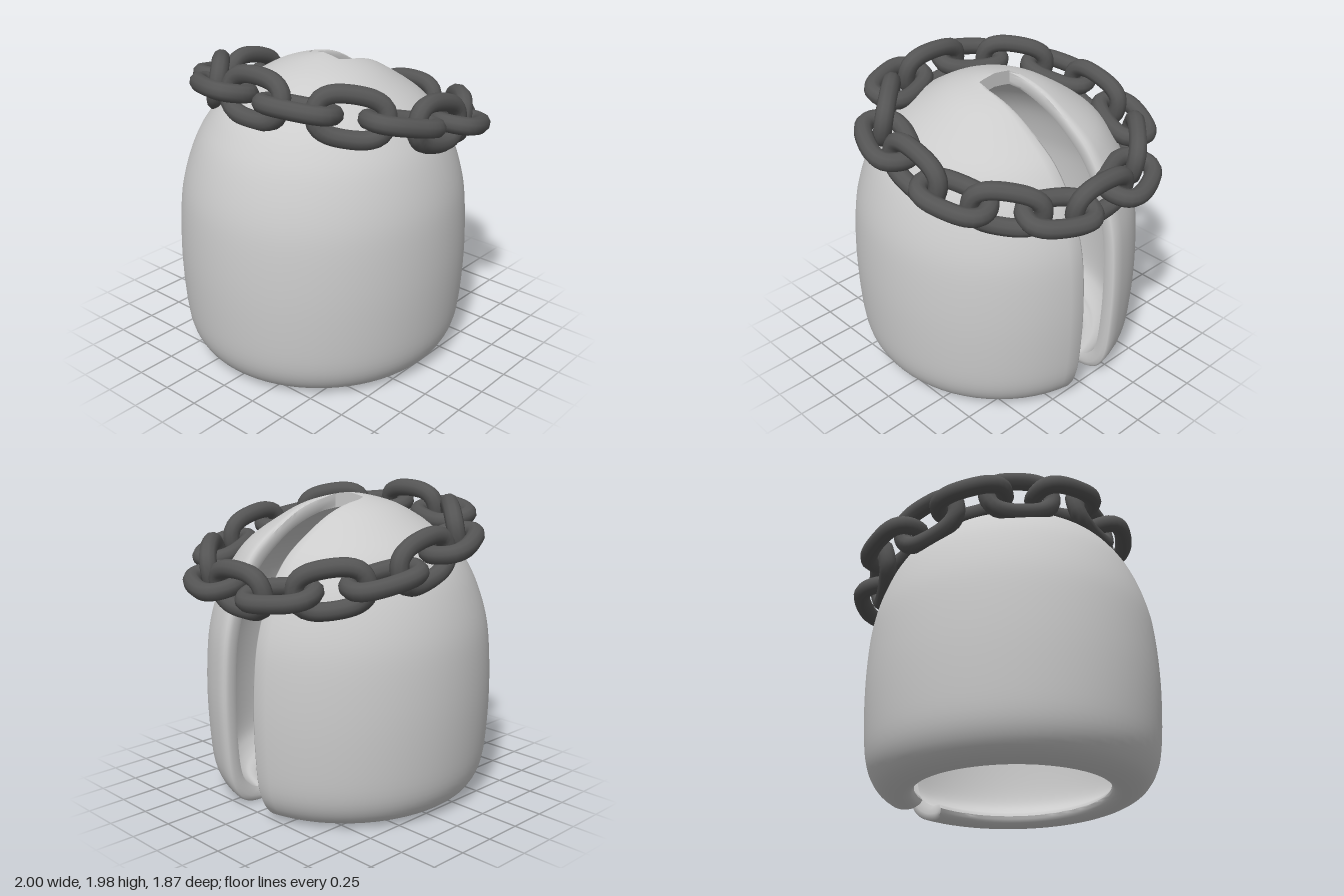
import * as THREE from 'three';
import { toCreasedNormals } from 'three/addons/utils/BufferGeometryUtils.js';

const spline = (pts) => new THREE.SplineCurve(pts.map(([r, y]) => new THREE.Vector2(r, y)));

// Hollow dome with a straight slot from the crown down through the +x side
function shellGeometry() {
  // matching outer and inner profiles (radius, height), meeting at the bottom lip
  const outer = spline([[0, 1.94], [0.13, 1.92], [0.3, 1.87], [0.45, 1.79], [0.64, 1.66], [0.745, 1.54], [0.825, 1.4],
    [0.895, 1.2], [0.93, 1], [0.945, 0.7], [0.935, 0.4], [0.91, 0.2], [0.855, 0.08], [0.78, 0.02], [0.69, 0], [0.63, 0.02], [0.61, 0.06]]);
  const inner = spline([[0, 1.85], [0.13, 1.83], [0.28, 1.78], [0.42, 1.71], [0.58, 1.59], [0.67, 1.49], [0.745, 1.36],
    [0.805, 1.18], [0.84, 1], [0.855, 0.7], [0.845, 0.4], [0.82, 0.22], [0.77, 0.14], [0.71, 0.1], [0.67, 0.1], [0.63, 0.09], [0.61, 0.06]]);

  // closed loop of columns: outside, rolled slot edge, inside, rolled slot edge
  // t = way round, w = half width of the slot, d = depth into the wall
  const roll = [[0.139, 0.12], [0.134, 0.4], [0.134, 0.75]];
  const around = 64, columns = [];
  for (let k = 0; k <= around; k++) columns.push({ t: k / around, w: 0.155, d: 0 });
  for (const [w, d] of roll) columns.push({ t: 1, w, d });
  for (let k = around; k >= 0; k--) columns.push({ t: k / around, w: 0.142, d: 1 });
  for (const [w, d] of [...roll].reverse()) columns.push({ t: 0, w, d });

  const rows = 64, n = columns.length, positions = [], index = [];
  for (let i = 0; i <= rows; i++) {
    const v = i / rows, a = outer.getPoint(v), b = inner.getPoint(v);
    const narrowing = 1 - 0.2 * THREE.MathUtils.smoothstep(v, 0.85, 1);
    for (const { t, w, d } of columns) {
      const p = a.clone().lerp(b, d);
      const r = Math.max(p.x, 0);
      const start = Math.asin(Math.min(1, (w * narrowing) / Math.max(r, 1e-6)));
      const angle = THREE.MathUtils.lerp(start, 2 * Math.PI - start, t);
      positions.push(r * Math.cos(angle) - 0.055, p.y, r * Math.sin(angle) * 0.963);
    }
  }
  for (let i = 0; i < rows; i++) {
    for (let j = 0; j < n; j++) {
      const k = (j + 1) % n;
      const p = i * n + j, q = i * n + k;
      index.push(p, q, p + n, q, q + n, p + n);
    }
  }
  const geometry = new THREE.BufferGeometry();
  geometry.setAttribute('position', new THREE.Float32BufferAttribute(positions, 3));
  geometry.setIndex(index);
  return toCreasedNormals(geometry, 0.9);
}

// One oblong link: length along z, width along y
function linkGeometry() {
  const quarter = [[0.12, 0.105], [0.085, 0.18], [0.04, 0.205]];
  const flip = (sy, sz) => quarter.map(([y, z]) => new THREE.Vector3(0, y * sy, z * sz));
  const path = new THREE.CatmullRomCurve3([
    ...flip(1, 1), ...flip(-1, 1).reverse(), ...flip(-1, -1), ...flip(1, -1).reverse(),
  ], true, 'centripetal');
  return new THREE.TubeGeometry(path, 36, 0.056, 10, true);
}

export function createModel() {
  const model = new THREE.Group();
  model.name = 'slottedDomeWithChain';

  const shell = new THREE.Mesh(shellGeometry(), new THREE.MeshStandardMaterial({ color: 0xcccccc }));
  shell.name = 'domeShell';
  model.add(shell);

  // Tilted ring of links, alternately upright and flat
  const chain = new THREE.Group();
  chain.name = 'chain';
  chain.position.set(0.09, 1.62, 0);
  chain.rotation.z = -0.235;
  const link = linkGeometry();
  const dark = new THREE.MeshStandardMaterial({ color: 0x555555 });
  const count = 16;
  for (let i = 0; i < count; i++) {
    const flat = i % 2 === 1;
    const holder = new THREE.Group();
    holder.name = flat ? 'flatLink' : 'uprightLink';
    holder.rotation.y = (i / count) * Math.PI * 2;
    const mesh = new THREE.Mesh(link, dark);
    mesh.name = 'link';
    mesh.position.x = flat ? 0.785 : 0.765;
    mesh.rotation.z = flat ? Math.PI / 2 : 0;
    holder.add(mesh);
    chain.add(holder);
  }
  model.add(chain);
  return model;
}
